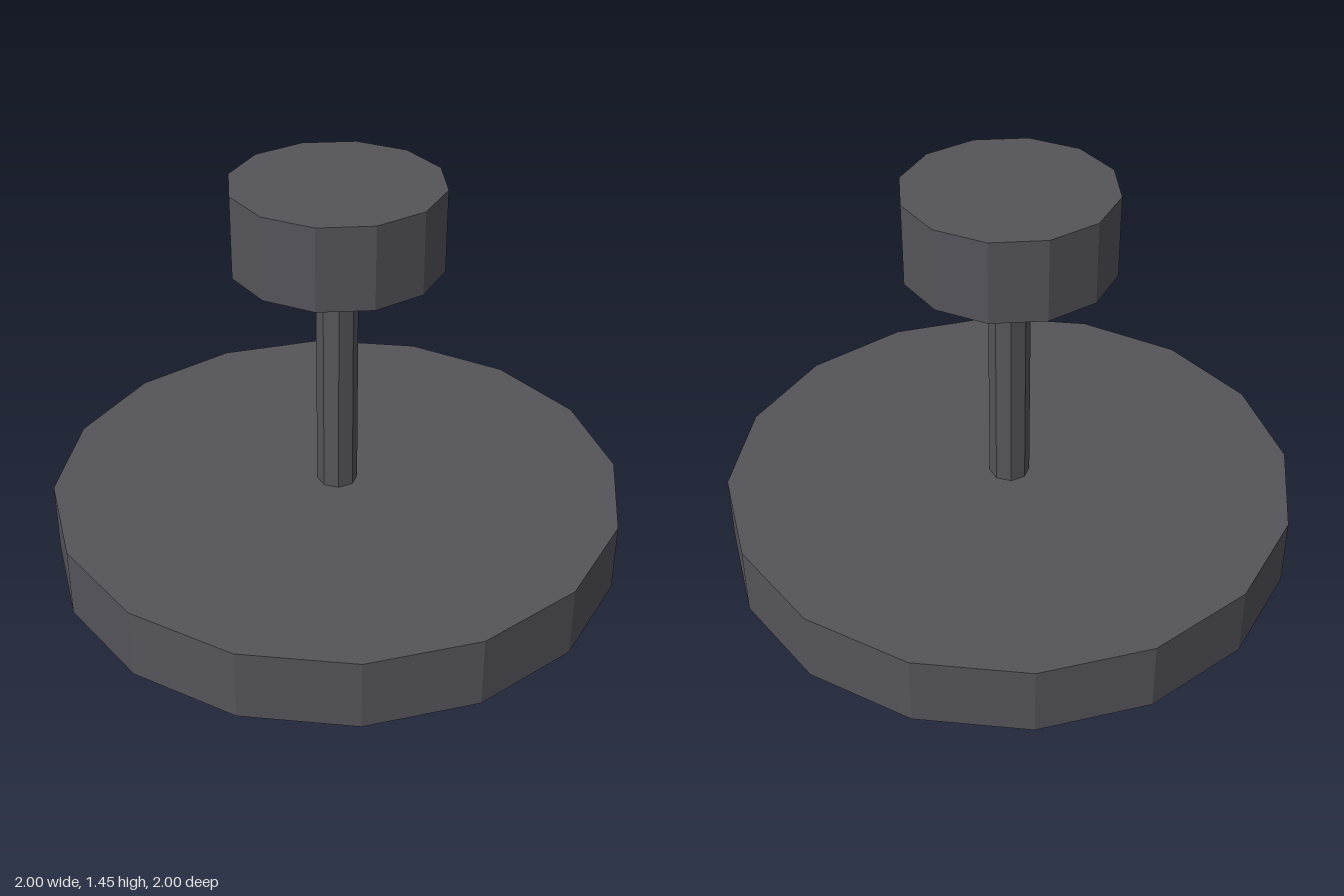
import * as THREE from 'three';

export function createModel() {
  const group = new THREE.Group();
  const metal = new THREE.MeshStandardMaterial({ color: 0x55545a, flatShading: true });
  const glow = new THREE.MeshStandardMaterial({ color: 0xeadebb, flatShading: true });

  // Upright faceted cylinder spanning two heights
  function addDisc(name, radius, bottom, top, sides, material) {
    const geometry = new THREE.CylinderGeometry(radius, radius, top - bottom, sides);
    const mesh = new THREE.Mesh(geometry, material);
    mesh.name = name;
    mesh.position.y = (bottom + top) / 2;
    group.add(mesh);
  }

  addDisc('diffuser', 0.858, 0, 0.09, 16, glow);           // pale light panel, set into the shade
  addDisc('shade', 1, 0.073, 0.323, 16, metal);            // wide lamp body
  addDisc('stem', 0.071, 0.3, 1.19, 8, metal);             // hanging rod
  addDisc('ceilingMount', 0.357, 1.166, 1.45, 12, metal);  // canopy
  return group;
}
